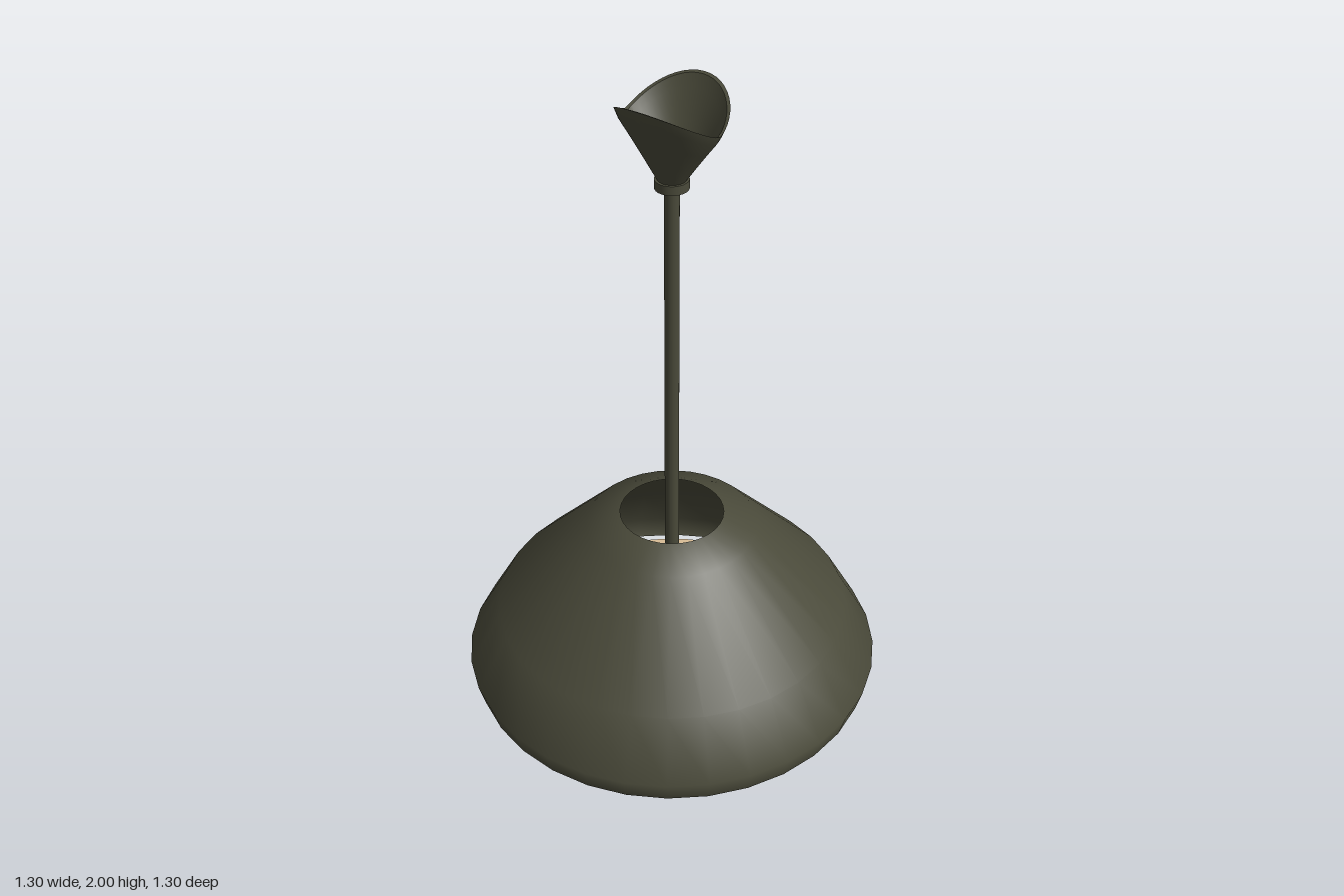
import * as THREE from 'three';

export function createModel() {
  const dark = new THREE.MeshStandardMaterial({ color: 0x4a4a3a, side: THREE.DoubleSide });
  dark.name = 'dark olive metal';
  const cream = new THREE.MeshStandardMaterial({ color: 0xd9bd96 });
  cream.name = 'cream diffuser';

  const group = new THREE.Group();
  group.name = 'pendantLamp';
  const add = (name, geometry, material, y = 0) => {
    const mesh = new THREE.Mesh(geometry, material);
    mesh.name = name;
    mesh.position.y = y;
    group.add(mesh);
  };
  const lathe = (points, segments) =>
    new THREE.LatheGeometry(points.map(([r, y]) => new THREE.Vector2(r, y)), segments);

  // Shade: faceted bell, open at the top and bottom, with a thin wall
  const profile = [[0.63, 0], [0.65, 0.07], [0.55, 0.25], [0.265, 0.55], [0.16, 0.595]];
  add('shadeOuter', lathe(profile, 32), dark);
  const inner = profile.map(([r, y], i) => [i === 4 ? r : r - 0.015, i === 0 || i === 4 ? y : y - 0.01]);
  add('shadeInner', lathe(inner.reverse(), 32), dark);
  add('shadeLip', lathe([[0.615, 0], [0.63, 0]], 32), dark);

  // Diffuser disc just inside the mouth of the shade
  add('diffuser', new THREE.CylinderGeometry(0.55, 0.55, 0.02, 48), cream, 0.025);

  // Stem and the collar under the canopy
  add('stem', new THREE.CylinderGeometry(0.022, 0.022, 1.705, 16), dark, 0.8875);
  add('collar', new THREE.CylinderGeometry(0.049, 0.049, 0.028, 24), dark, 1.729);

  // Canopy: a cone whose rim dips at the sides to form a saddle
  const around = 48;
  const rimHeight = (a) => 1.91 + 0.09 * Math.pow(Math.abs(Math.cos(a)), 1.25);
  // Each section: radius, share of the way up from the collar to the rim
  const saddle = (sections) => {
    const positions = [];
    const indices = [];
    sections.forEach(([r, t], row) => {
      for (let i = 0; i <= around; i++) {
        const a = (i / around) * Math.PI * 2;
        positions.push(r * Math.sin(a), 1.74 + t * (rimHeight(a) - 1.74), r * Math.cos(a));
        if (row === 0 || i === 0) continue;
        const p = row * (around + 1) + i;
        const q = p - around - 1;
        indices.push(q - 1, q, p - 1, q, p, p - 1);
      }
    });
    const geometry = new THREE.BufferGeometry();
    geometry.setAttribute('position', new THREE.Float32BufferAttribute(positions, 3));
    geometry.setIndex(indices);
    geometry.computeVertexNormals();
    return geometry;
  };
  add('canopyOuter', saddle([[0.04, 0], [0.076, 0.3], [0.112, 0.6], [0.143, 0.85], [0.155, 1]]), dark);
  add('canopyRim', saddle([[0.155, 1], [0.146, 0.985]]), dark);
  add('canopyInner', saddle([[0.146, 0.985], [0.13, 0.84], [0.1, 0.6], [0.05, 0.2], [0.001, 0.06]]), dark);

  return group;
}
